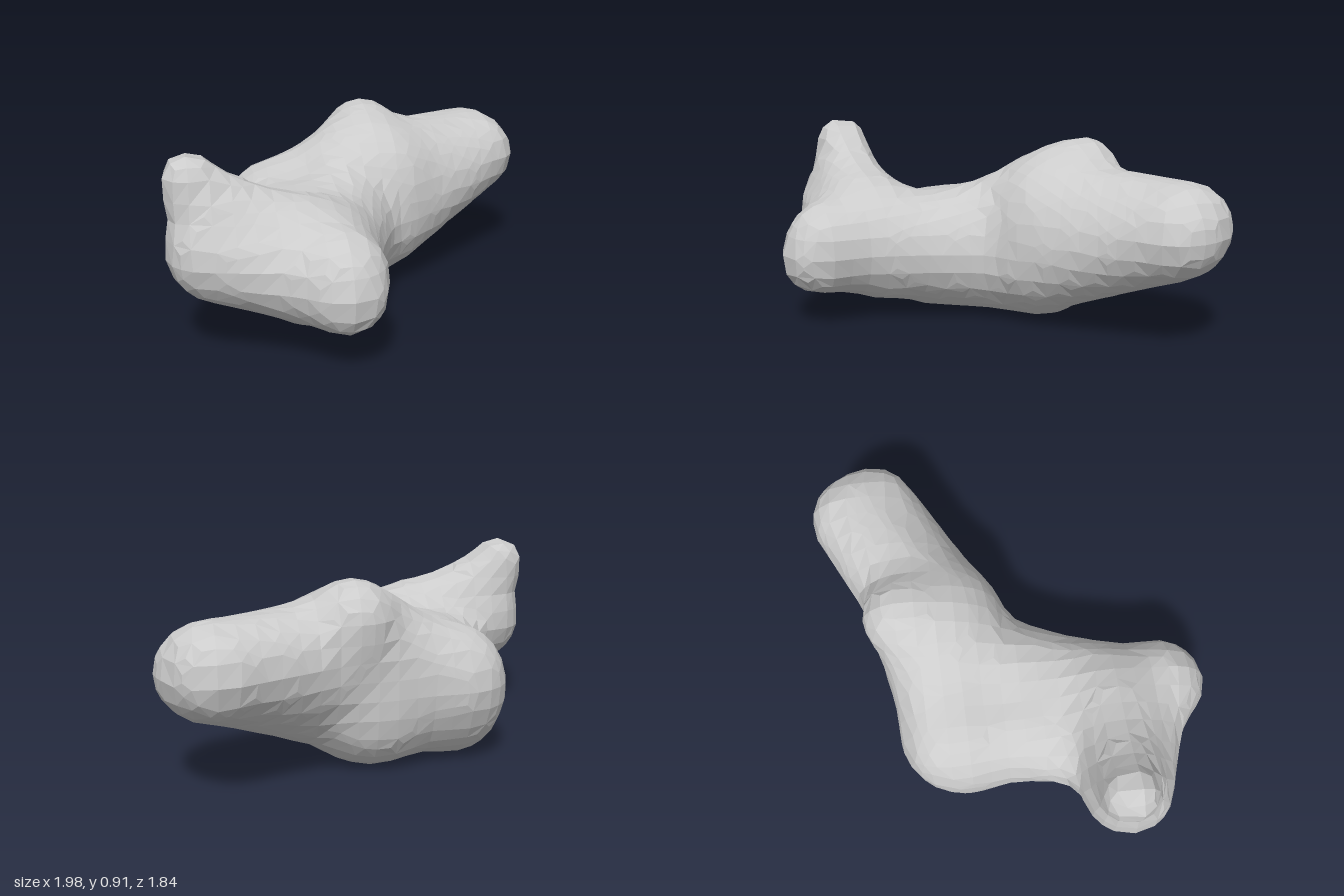
import * as THREE from 'three';

// Tapered limbs of the rock: start x, y, z, radius, then end x, y, z, radius
const LIMBS = [
  // long arm, two strands side by side so it is wider than tall
  [0.73, 0.56, -0.725, 0.22, 0.15, 0.52, -0.35, 0.30],
  [0.79, 0.54, -0.61, 0.22, 0.15, 0.34, -0.30, 0.30],
  // hump on top, sloping down to the saddle and to the rear corner
  [0.12, 0.71, -0.52, 0.20, -0.20, 0.36, 0.07, 0.24],
  [0.10, 0.61, -0.42, 0.23, -0.38, 0.40, -0.35, 0.22],
  // underside of the body
  [-0.30, 0.26, 0.10, 0.26, 0.00, 0.28, -0.35, 0.28],
  [0.00, 0.28, -0.35, 0.28, -0.40, 0.25, -0.28, 0.24],
  // rear corner and flank, low and high
  [-0.40, 0.25, -0.29, 0.24, -0.38, 0.25, 0.05, 0.24],
  [-0.39, 0.38, -0.34, 0.24, -0.38, 0.36, 0.00, 0.25],
  [0.15, 0.50, -0.36, 0.29, -0.38, 0.35, -0.33, 0.24],
  // waist between body and front lobe
  [-0.30, 0.37, 0.40, 0.28, -0.05, 0.32, -0.15, 0.27],
  [-0.70, 0.45, 0.45, 0.16, -0.38, 0.34, 0.02, 0.22],
  // front lobe with its blunt nose
  [-0.30, 0.37, 0.40, 0.28, -0.25, 0.41, 0.68, 0.19],
  [-0.25, 0.41, 0.68, 0.18, -0.24, 0.33, 0.755, 0.17],
  // side lobe, with its front face running to the nose
  [-0.40, 0.41, 0.45, 0.28, -0.77, 0.46, 0.45, 0.20],
  [-0.77, 0.46, 0.45, 0.19, -0.27, 0.36, 0.66, 0.20],
  // upturned horn and the ridge below it
  [-0.78, 0.55, 0.43, 0.19, -0.87, 0.80, 0.41, 0.12],
  [-0.85, 0.77, 0.41, 0.12, -0.50, 0.54, 0.43, 0.19],
];

// Distance to one tapered limb
function limbDistance(p, [ax, ay, az, ra, bx, by, bz, rb]) {
  const d = [bx - ax, by - ay, bz - az];
  const q = [p[0] - ax, p[1] - ay, p[2] - az];
  const len2 = d[0] ** 2 + d[1] ** 2 + d[2] ** 2;
  const t = Math.min(1, Math.max(0, (q[0] * d[0] + q[1] * d[1] + q[2] * d[2]) / len2));
  return Math.hypot(q[0] - t * d[0], q[1] - t * d[1], q[2] - t * d[2]) - (ra + (rb - ra) * t);
}

// All limbs blended together, cut flat at the ground
function field(p) {
  const k = 0.1;
  let d = Infinity;
  for (const limb of LIMBS) {
    const e = limbDistance(p, limb);
    const h = Math.max(0, k - Math.abs(d - e)) / k;
    d = Math.min(d, e) - h * h * k * 0.25;
  }
  return Math.max(d + 0.014, -p[1]);
}

// Turns the field into a coarse quad skin: one vertex per crossed cell
function skin(min, counts, step) {
  const [nx, ny, nz] = counts;
  const id = (c) => c[0] + nx * (c[1] + ny * c[2]);
  const at = (c) => c.map((v, i) => min[i] + v * step);
  const each = (fn) => {
    for (let z = 0; z < nz; z++)
      for (let y = 0; y < ny; y++)
        for (let x = 0; x < nx; x++) fn([x, y, z]);
  };
  const values = [];
  each((c) => { values[id(c)] = field(at(c)); });

  const positions = [], indices = [], cellVertex = new Map();
  each((c) => {
    if (c.some((v, i) => v >= counts[i] - 1)) return;
    const sum = [0, 0, 0];
    let n = 0;
    for (let a = 0; a < 3; a++)
      for (let m = 0; m < 4; m++) {
        const lo = [...c];
        lo[(a + 1) % 3] += m & 1;
        lo[(a + 2) % 3] += m >> 1;
        const hi = [...lo];
        hi[a]++;
        const f = values[id(lo)], g = values[id(hi)];
        if (f < 0 === g < 0) continue;
        const p = at(lo);
        p[a] += (step * f) / (f - g);
        p.forEach((v, i) => { sum[i] += v; });
        n++;
      }
    if (!n) return;
    // settle the averaged point onto the surface
    const p = sum.map((v) => v / n);
    const f = field(p), e = 0.01;
    const grad = [0, 1, 2].map((i) => {
      const q = [...p];
      q[i] += e;
      return (field(q) - f) / e;
    });
    const g2 = Math.max(0.3, grad[0] ** 2 + grad[1] ** 2 + grad[2] ** 2);
    cellVertex.set(id(c), positions.length / 3);
    positions.push(...p.map((v, i) => v - (f * grad[i]) / g2));
  });

  // one quad around every crossed grid edge
  each((c) => {
    for (let a = 0; a < 3; a++) {
      const b = (a + 1) % 3, d = (a + 2) % 3;
      if (c[a] >= counts[a] - 1 || !c[b] || !c[d]) continue;
      const hi = [...c];
      hi[a]++;
      const inside = values[id(c)] < 0;
      if (inside === values[id(hi)] < 0) continue;
      const quad = [[1, 1], [0, 1], [0, 0], [1, 0]].map(([u, v]) => {
        const cell = [...c];
        cell[b] -= u;
        cell[d] -= v;
        return cellVertex.get(id(cell));
      });
      if (!inside) quad.reverse();
      indices.push(quad[0], quad[1], quad[2], quad[0], quad[2], quad[3]);
    }
  });

  const geometry = new THREE.BufferGeometry();
  geometry.setAttribute('position', new THREE.Float32BufferAttribute(positions, 3));
  geometry.setIndex(indices);
  geometry.computeVertexNormals();
  return geometry;
}

export function createModel() {
  const geometry = skin([-1.19, -0.13, -1.13], [28, 15, 26], 0.09);
  const material = new THREE.MeshStandardMaterial({ color: 0xcccccc, flatShading: true });
  const rock = new THREE.Mesh(geometry, material);
  rock.name = 'rockBody';
  const group = new THREE.Group();
  group.name = 'lobedRock';
  group.add(rock);
  return group;
}
